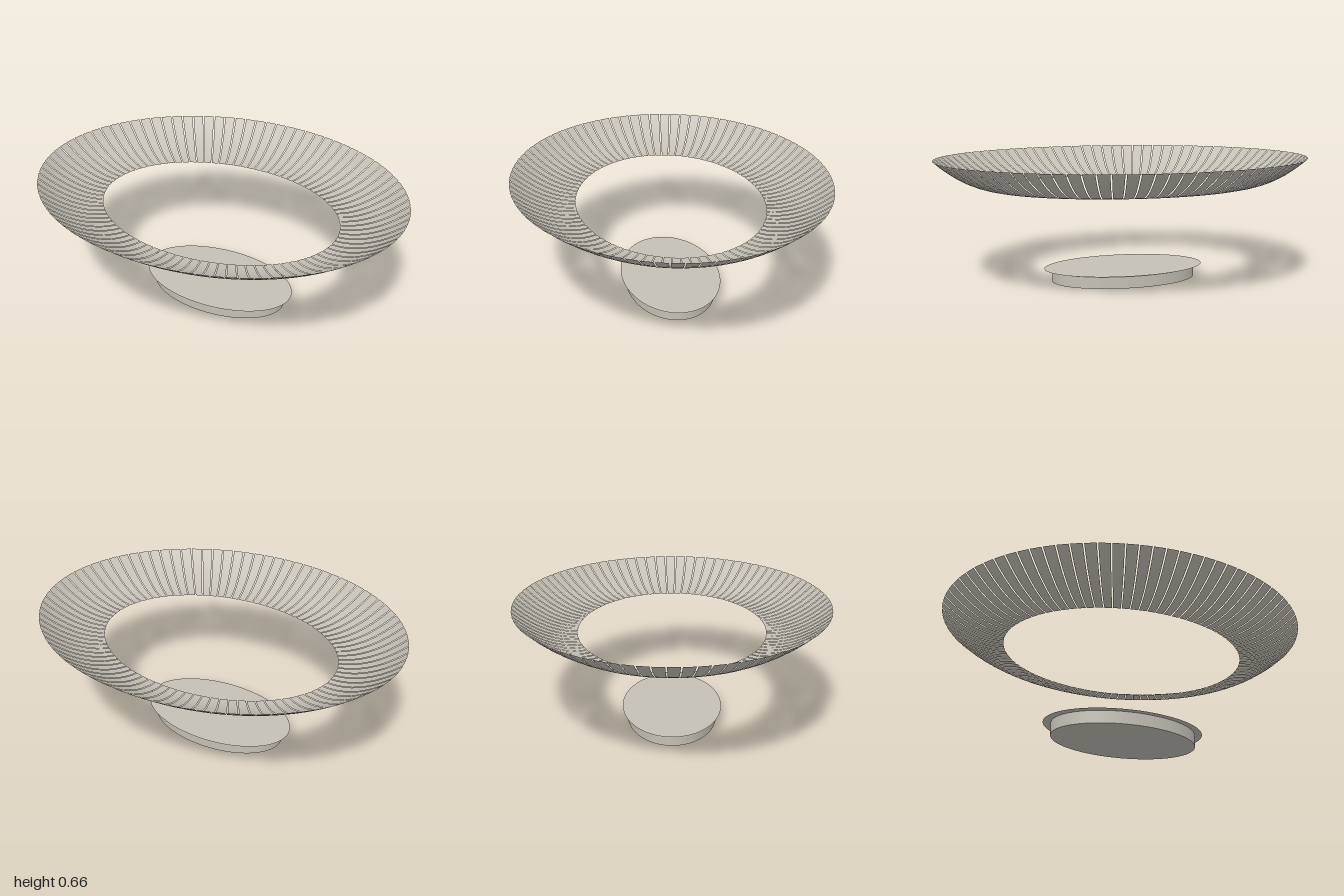
import * as THREE from 'three';
import { mergeGeometries } from 'three/addons/utils/BufferGeometryUtils.js';

const SLATS = 88, GAP = 0.11, ROWS = 10;
const OUTER = { a: 1.0, b: 0.83 }, INNER = { a: 0.665, b: 0.498 };
const LOW = 0.507, RISE = 0.153;

export function createModel() {
  const group = new THREE.Group();
  const stone = new THREE.MeshStandardMaterial({ color: 0xc4c0b6, side: THREE.DoubleSide });
  stone.name = 'warm grey';

  // Ring of curved slats, evenly spaced along the outer rim
  const rim = new THREE.EllipseCurve(0, 0, OUTER.a, OUTER.b);
  rim.arcLengthDivisions = 2000;
  const angleAt = (u) => rim.getUtoTmapping((u + 1) % 1) * Math.PI * 2;

  function slat(i) {
    const half = (1 - GAP) / 2;
    const angles = [angleAt((i - half) / SLATS), angleAt((i + half) / SLATS)];
    const positions = [], index = [];
    for (let r = 0; r <= ROWS; r++) {
      const u = r / ROWS;
      const a = THREE.MathUtils.lerp(INNER.a, OUTER.a, u);
      const b = THREE.MathUtils.lerp(INNER.b, OUTER.b, u);
      for (const t of angles) positions.push(a * Math.cos(t), LOW + RISE * u * u, b * Math.sin(t));
      if (r < ROWS) {
        const k = r * 2;
        index.push(k, k + 1, k + 2, k + 1, k + 3, k + 2);
      }
    }
    const g = new THREE.BufferGeometry();
    g.setAttribute('position', new THREE.Float32BufferAttribute(positions, 3));
    g.setIndex(index);
    g.computeVertexNormals();
    return g;
  }
  const ring = new THREE.Mesh(mergeGeometries(Array.from({ length: SLATS }, (_, i) => slat(i))), stone);
  ring.name = 'slattedRing';
  group.add(ring);

  // Oval base drum
  const drum = new THREE.CylinderGeometry(1, 1, 0.067, 96);
  drum.scale(0.395, 1, 0.243);
  drum.translate(0, 0.0335, 0);
  const base = new THREE.Mesh(drum, stone);
  base.name = 'baseDrum';
  group.add(base);

  // Thin overhanging oval top
  const top = new THREE.CircleGeometry(1, 96);
  top.rotateX(-Math.PI / 2);
  top.scale(0.437, 1, 0.27);
  top.translate(0, 0.069, 0);
  const plate = new THREE.Mesh(top, stone);
  plate.name = 'baseTop';
  group.add(plate);

  return group;
}
